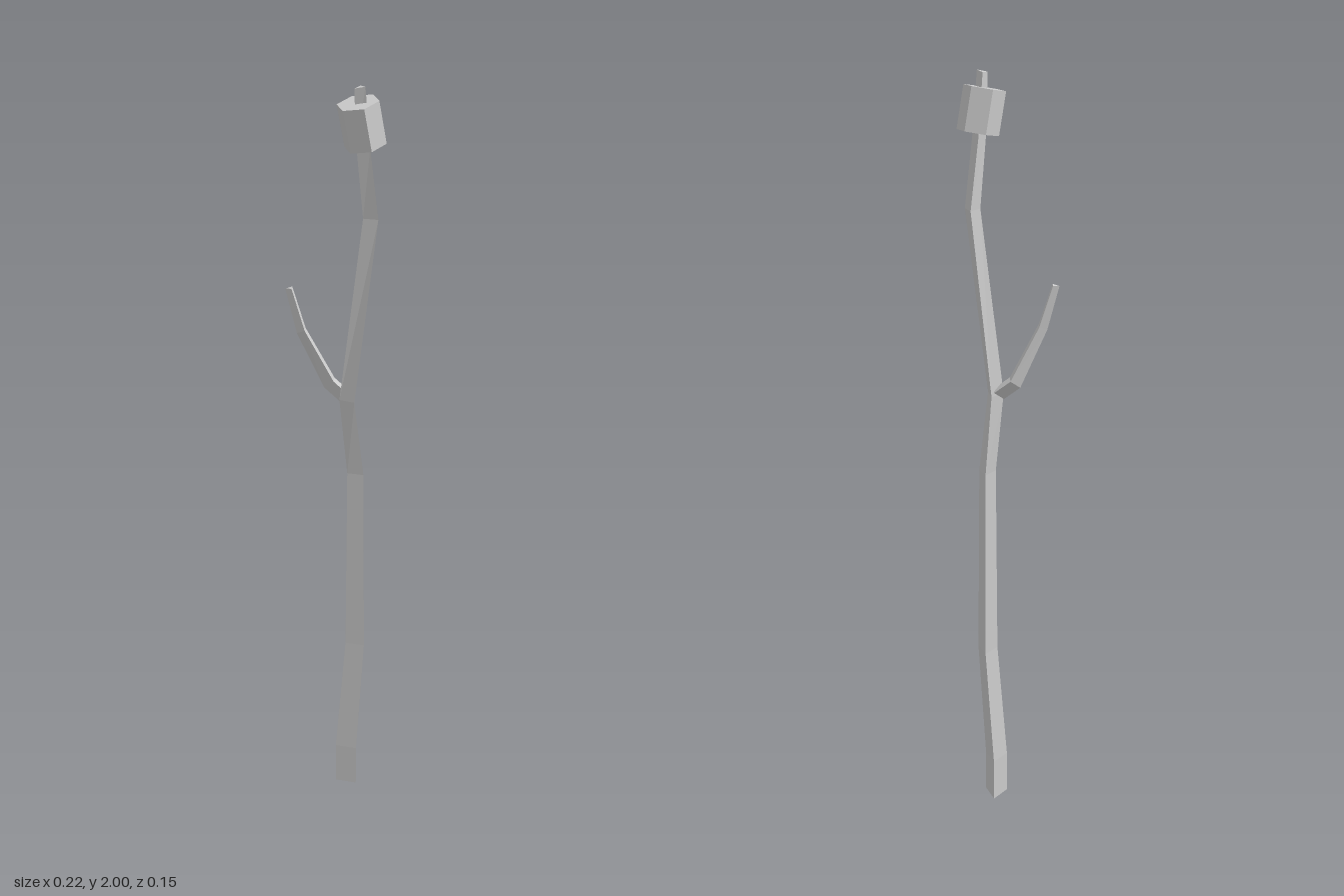
import * as THREE from 'three';

const material = new THREE.MeshStandardMaterial({ color: 0xcccccc, flatShading: true });

// Lofts a three-sided twig through rings: [x, y, z, radius, turn in degrees, slope]
// The slope lifts the +x side of a ring so that it leans across the twig.
function twig(name, rings) {
  const points = [];
  const faces = [];
  for (const [x, y, z, r, turn, slope = 0] of rings) {
    for (let i = 0; i < 3; i++) {
      const a = THREE.MathUtils.degToRad(turn + i * 120);
      const dx = r * Math.cos(a);
      const dz = r * Math.sin(a);
      points.push(x + dx, y + slope * (0.9 * dx + 0.4 * dz), z + dz);
    }
  }
  const last = (rings.length - 1) * 3;
  for (let k = 0; k < last; k += 3) {
    for (let i = 0; i < 3; i++) {
      const j = (i + 1) % 3;
      faces.push(k + i, k + 3 + i, k + j, k + j, k + 3 + i, k + 3 + j);
    }
  }
  faces.push(0, 1, 2, last, last + 2, last + 1); // end caps
  const geometry = new THREE.BufferGeometry();
  geometry.setAttribute('position', new THREE.Float32BufferAttribute(points, 3));
  geometry.setIndex(faces);
  geometry.computeVertexNormals();
  const mesh = new THREE.Mesh(geometry, material);
  mesh.name = name;
  return mesh;
}

export function createModel() {
  const group = new THREE.Group();
  group.name = 'marshmallowStick';

  // Crooked main stick, thinning towards the tip
  group.add(twig('stick', [
    [0.033, 0, -0.001, 0.034, 180],
    [0.033, 0.12, -0.001, 0.034, 180],
    [0.056, 0.46, 0.001, 0.03, 180],
    [0.055, 0.98, -0.001, 0.025, 180],
    [0.033, 1.19, 0.0, 0.024, 190],
    [0.086, 1.67, 0.011, 0.022, 180],
    [0.062, 1.85, 0.021, 0.019, 175],
    [0.048, 1.995, 0.033, 0.015, 170, 0.2],
  ]));

  // Side branch growing out to the right and back
  group.add(twig('branch', [
    [0.03, 1.195, -0.012, 0.017, 200, 0.9],
    [-0.005, 1.228, -0.035, 0.017, 200, 0.9],
    [-0.074, 1.37, -0.052, 0.014, 200, 0.5],
    [-0.101, 1.48, -0.07, 0.011, 200, 0.2],
  ]));

  // Six-sided marshmallow speared near the tip, leaning with the stick
  const bottom = new THREE.Vector3(0.066, 1.853, 0.02);
  const top = new THREE.Vector3(0.045, 1.957, 0.026);
  const axis = top.clone().sub(bottom);
  const marshmallow = new THREE.Mesh(
    new THREE.CylinderGeometry(0.052, 0.052, axis.length(), 6), material);
  marshmallow.position.copy(bottom).lerp(top, 0.5);
  marshmallow.quaternion.setFromUnitVectors(new THREE.Vector3(0, 1, 0), axis.normalize());
  marshmallow.name = 'marshmallow';
  group.add(marshmallow);

  return group;
}
